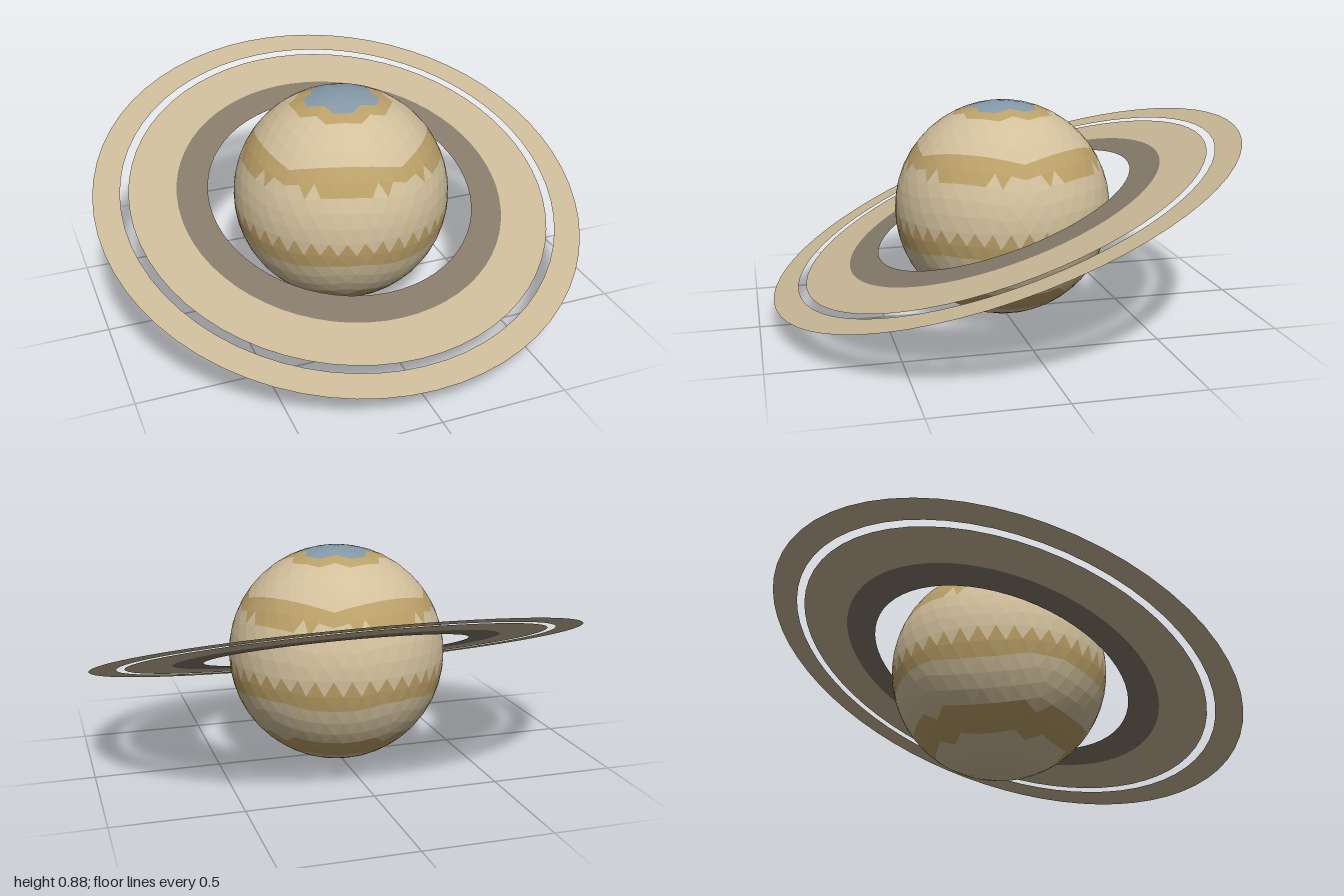
import * as THREE from 'three';

const RADIUS = 0.44;
const TILT = THREE.MathUtils.degToRad(20);

function material(name, color, extra = {}) {
  const m = new THREE.MeshStandardMaterial({ color, ...extra });
  m.name = name;
  return m;
}

// Faces of a unit icosphere with a vertex at each pole
function icosphereFaces(levels) {
  const top = new THREE.Vector3(0, 1, 0);
  const bottom = new THREE.Vector3(0, -1, 0);
  const h = 1 / Math.sqrt(5);
  const corner = (i, y) => {
    const a = (i * Math.PI) / 5;
    return new THREE.Vector3(2 * h * Math.cos(a), y, -2 * h * Math.sin(a));
  };
  let faces = [];
  for (let i = 0; i < 10; i += 2) {
    const u0 = corner(i, h), u1 = corner(i + 2, h);
    const l0 = corner(i + 1, -h), l1 = corner(i + 3, -h);
    faces.push([top, u0, u1], [u0, l0, u1], [u1, l0, l1], [bottom, l1, l0]);
  }
  const mid = (a, b) => a.clone().add(b).normalize();
  for (let n = 0; n < levels; n++) {
    faces = faces.flatMap(([a, b, c]) => {
      const ab = mid(a, b), bc = mid(b, c), ca = mid(c, a);
      return [[a, ab, ca], [ab, b, bc], [ca, bc, c], [ab, bc, ca]];
    });
  }
  return faces;
}

// Colour zone of a face from the height of its centre (-1 to 1)
function zoneAt(y) {
  if (y > 0.948) return 'polarCap';
  const belts = [[0.895, 0.948], [0.43, 0.61], [-0.26, -0.06], [-0.83, -0.64]];
  return belts.some(([lo, hi]) => y > lo && y <= hi) ? 'darkBelts' : 'paleZones';
}

export function createModel() {
  const model = new THREE.Group();
  model.name = 'ringedPlanet';

  // Faceted globe, one mesh per colour
  const globe = new THREE.Group();
  globe.name = 'globe';
  globe.position.y = RADIUS;
  const zones = {
    paleZones: { mat: material('cream', 0xd2c09c, { flatShading: true }), faces: [] },
    darkBelts: { mat: material('ochre', 0xbba068, { flatShading: true }), faces: [] },
    polarCap: { mat: material('greyBlue', 0x8499a8, { flatShading: true }), faces: [] },
  };
  for (const f of icosphereFaces(3)) {
    zones[zoneAt((f[0].y + f[1].y + f[2].y) / 3)].faces.push(f);
  }
  for (const [name, { mat, faces }] of Object.entries(zones)) {
    const geometry = new THREE.BufferGeometry().setFromPoints(faces.flat());
    geometry.scale(RADIUS, RADIUS, RADIUS);
    geometry.computeVertexNormals();
    const mesh = new THREE.Mesh(geometry, mat);
    mesh.name = name;
    globe.add(mesh);
  }
  model.add(globe);

  // Flat rings, tilted down towards the front
  const rings = new THREE.Group();
  rings.name = 'rings';
  rings.position.y = RADIUS;
  rings.rotation.x = TILT - Math.PI / 2;
  const sand = material('sand', 0xcab998, { side: THREE.DoubleSide });
  const taupe = material('taupe', 0x857a69, { side: THREE.DoubleSide });
  for (const [name, inner, outer, mat] of [
    ['innerRing', 0.545, 0.67, taupe],
    ['middleRing', 0.67, 0.86, sand],
    ['outerRing', 0.893, 1, sand],
  ]) {
    const mesh = new THREE.Mesh(new THREE.RingGeometry(inner, outer, 64), mat);
    mesh.name = name;
    rings.add(mesh);
  }
  model.add(rings);
  return model;
}
